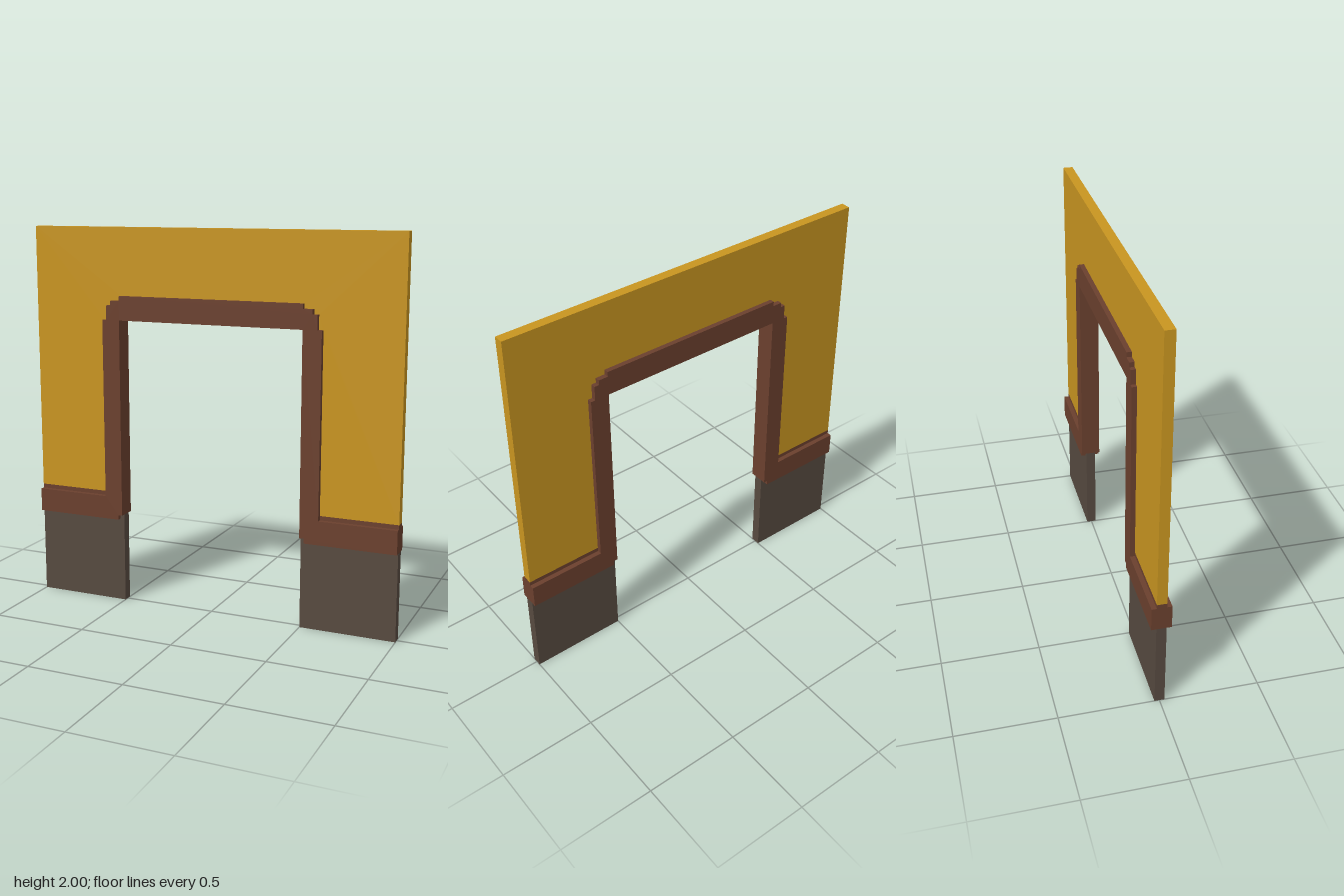
import * as THREE from 'three';

const yellow = new THREE.MeshStandardMaterial({ color: 0xc99520 });
yellow.name = 'ochre plaster';
const brown = new THREE.MeshStandardMaterial({ color: 0x6b402e });
brown.name = 'brown wood';
const grey = new THREE.MeshStandardMaterial({ color: 0x574a40 });
grey.name = 'grey stone';

const WALL = 0.05, TRIM = 0.1; // depths
const RAIL_BOTTOM = 0.455, RAIL_TOP = 0.578, WALL_BOTTOM = 0.6;

// Mirror a right-hand half profile across x = 0 into one closed outline
const mirrored = (half) => [...half, ...half.map(([x, y]) => [-x, y]).reverse()];

// Extrude an outline, centred on z = 0
function slab(name, points, depth, material) {
  const shape = new THREE.Shape(points.map(([x, y]) => new THREE.Vector2(x, y)));
  const geometry = new THREE.ExtrudeGeometry(shape, { depth, bevelEnabled: false });
  geometry.translate(0, 0, -depth / 2);
  const mesh = new THREE.Mesh(geometry, material);
  mesh.name = name;
  return mesh;
}

export function createModel() {
  const group = new THREE.Group();
  group.name = 'doorwayWall';

  // Stepped outer edge of the door surround, from jamb to head
  const steps = [
    [0.598, 1.525], [0.575, 1.525], [0.575, 1.6], [0.55, 1.6],
    [0.55, 1.625], [0.5, 1.625], [0.5, 1.65],
  ];

  // Upper wall, fitted around the surround
  group.add(slab('upperWall', mirrored([
    ...[...steps].reverse(), [0.598, WALL_BOTTOM], [1, WALL_BOTTOM], [1, 2],
  ]), WALL, yellow));

  // Door surround and chair rails in one piece
  group.add(slab('doorTrim', mirrored([
    [0.5, 1.525], [0.5, 0.48], [0.523, 0.48], [0.523, RAIL_BOTTOM],
    [1, RAIL_BOTTOM], [1, RAIL_TOP], [0.598, RAIL_TOP], ...steps,
  ]), TRIM, brown));

  for (const s of [1, -1]) {
    const side = s > 0 ? 'left' : 'right';
    const flip = (points) => points.map(([x, y]) => [s * x, y]);

    // Thin lip between the rail and the wall
    group.add(slab(side + 'RailLip', flip([
      [0.598, RAIL_TOP], [1, RAIL_TOP], [1, WALL_BOTTOM], [0.598, WALL_BOTTOM],
    ]), WALL, brown));

    // Stone base, notched up under the jamb
    group.add(slab(side + 'Base', flip([
      [0.5, 0], [1, 0], [1, RAIL_BOTTOM], [0.523, RAIL_BOTTOM], [0.523, 0.48], [0.5, 0.48],
    ]), WALL, grey));
  }
  return group;
}
